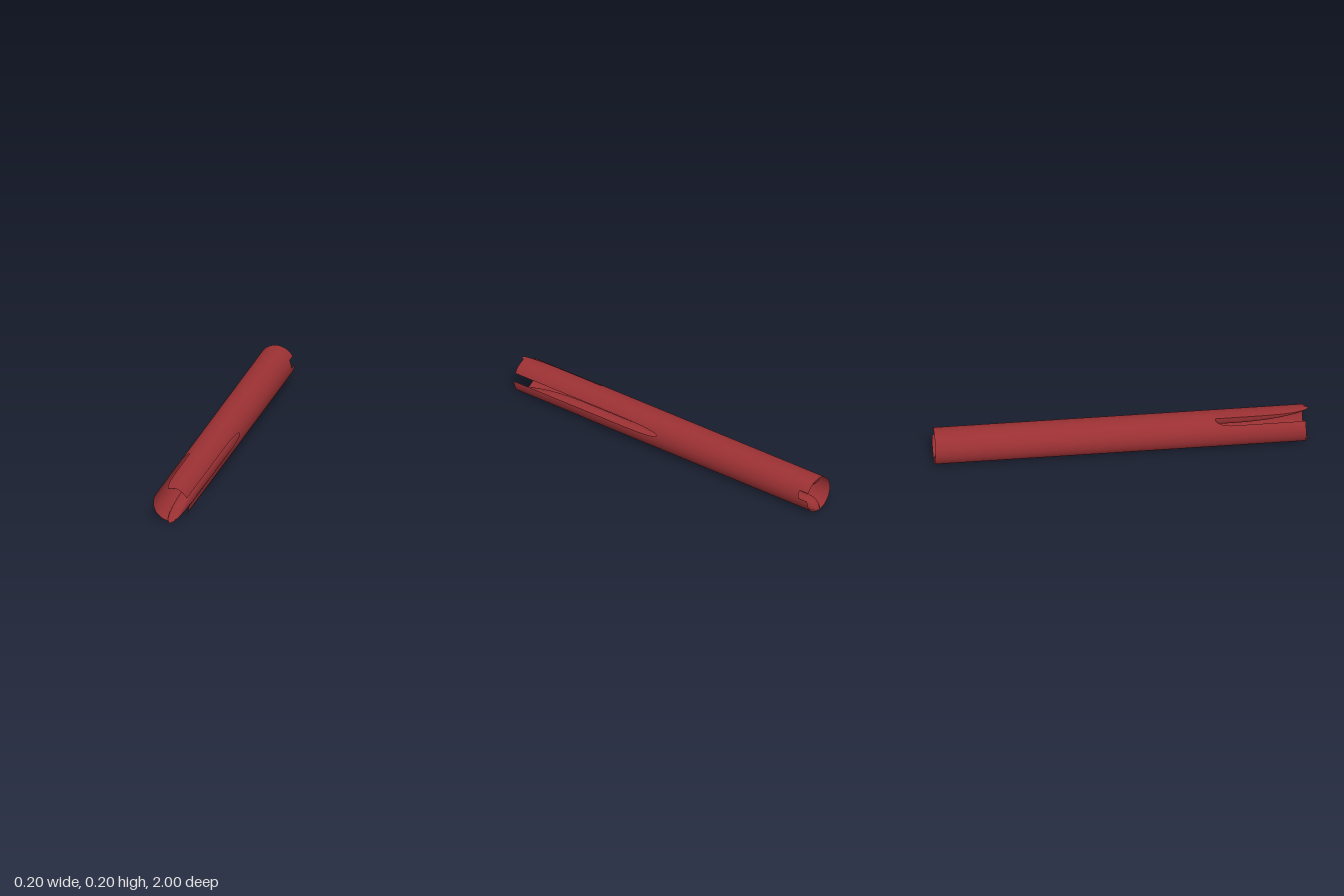
import * as THREE from 'three';
import { ParametricGeometry } from 'three/addons/geometries/ParametricGeometry.js';
import { toCreasedNormals } from 'three/addons/utils/BufferGeometryUtils.js';

const R = 0.098, FRONT = 0.98, BACK = -1;
const rad = THREE.MathUtils.degToRad;

// Curved wall panel between two angles, with its own back and front outline
function panel(a0, a1, back, front, segs) {
  return new ParametricGeometry((u, v, p) => {
    const a = rad(a0 + (a1 - a0) * u);
    p.set(R * Math.cos(a), R * Math.sin(a), THREE.MathUtils.lerp(back(u), front(u), v));
  }, segs, 24);
}

// Closed rail: a low roof flush with the wall, a rounded belly hanging inwards
function railGeometry() {
  const section = [[1, 0], [0, 0.01], [-1, 0]];
  for (let i = 1; i < 24; i++) {
    const a = Math.PI * (1 + i / 24);
    const c = Math.cos(a), s = Math.sin(a);
    section.push([Math.sign(c) * Math.abs(c) ** 0.65, -0.05 * Math.abs(s) ** 0.65]);
  }
  const n = section.length, rows = 96, pos = [], index = [];
  for (let j = 0; j <= rows; j++) {
    // Stations bunch up at both ends so the tips stay round
    const z = -Math.cos(Math.PI * j / rows);
    const f = Math.max(0, (z - 0.6) / 0.4), b = Math.max(0, (-0.92 - z) / 0.08);
    const round = Math.sqrt(Math.max(0, 1 - b * b));
    const w = Math.sqrt(Math.max(0, 1 - f ** 4)) * round;
    const h = (1 - f * f) * round;
    for (const [x, y] of section) {
      const rise = y > 0 ? y * w : y * h;
      pos.push(0.038 * w * x, 0.1 - 0.01 * w + rise, z);
    }
  }
  for (let j = 0; j < rows; j++) {
    for (let i = 0; i < n; i++) {
      const a = j * n + i, b = j * n + (i + 1) % n;
      index.push(a, b, a + n, b, b + n, a + n);
    }
  }
  const g = new THREE.BufferGeometry();
  g.setAttribute('position', new THREE.Float32BufferAttribute(pos, 3));
  g.setIndex(index);
  return toCreasedNormals(g, rad(40));
}

export function createModel() {
  const model = new THREE.Group();
  model.name = 'slottedTube';
  const body = new THREE.Group();
  body.name = 'body';
  body.position.y = 0.1;
  model.add(body);

  const mat = new THREE.MeshStandardMaterial({ color: 0x9a3033, side: THREE.DoubleSide });
  const add = (name, geo) => {
    const m = new THREE.Mesh(geo, mat);
    m.name = name;
    body.add(m);
    return m;
  };

  const back = () => BACK, front = () => FRONT;
  // Rounded slot end: deepest in the middle of the panel
  const slotEnd = (z, len) => u => z + len * (1 - Math.sqrt(Math.max(0, 1 - (2 * u - 1) ** 2)));

  // Full-length wall between the slots
  add('upperWall', panel(27, 90, back, front, 24));
  add('farWall', panel(139, 270, back, front, 48));
  add('lowerWall', panel(319, 360, back, front, 16));

  // Wall behind the two short slots, above and below
  add('topSlotWall', panel(90, 139, back, slotEnd(0.5, 0.08), 24));
  add('bottomSlotWall', panel(270, 319, back, slotEnd(0.5, 0.08), 24));

  // Wall behind the long side slot, with a square notch at the rear
  add('sideSlotWall', panel(0, 27, () => -0.94, slotEnd(0.02, 0.22), 24));

  // Inner rails along the top and bottom
  const rail = railGeometry();
  add('topRail', rail);
  add('bottomRail', rail).rotation.z = Math.PI;

  return model;
}
